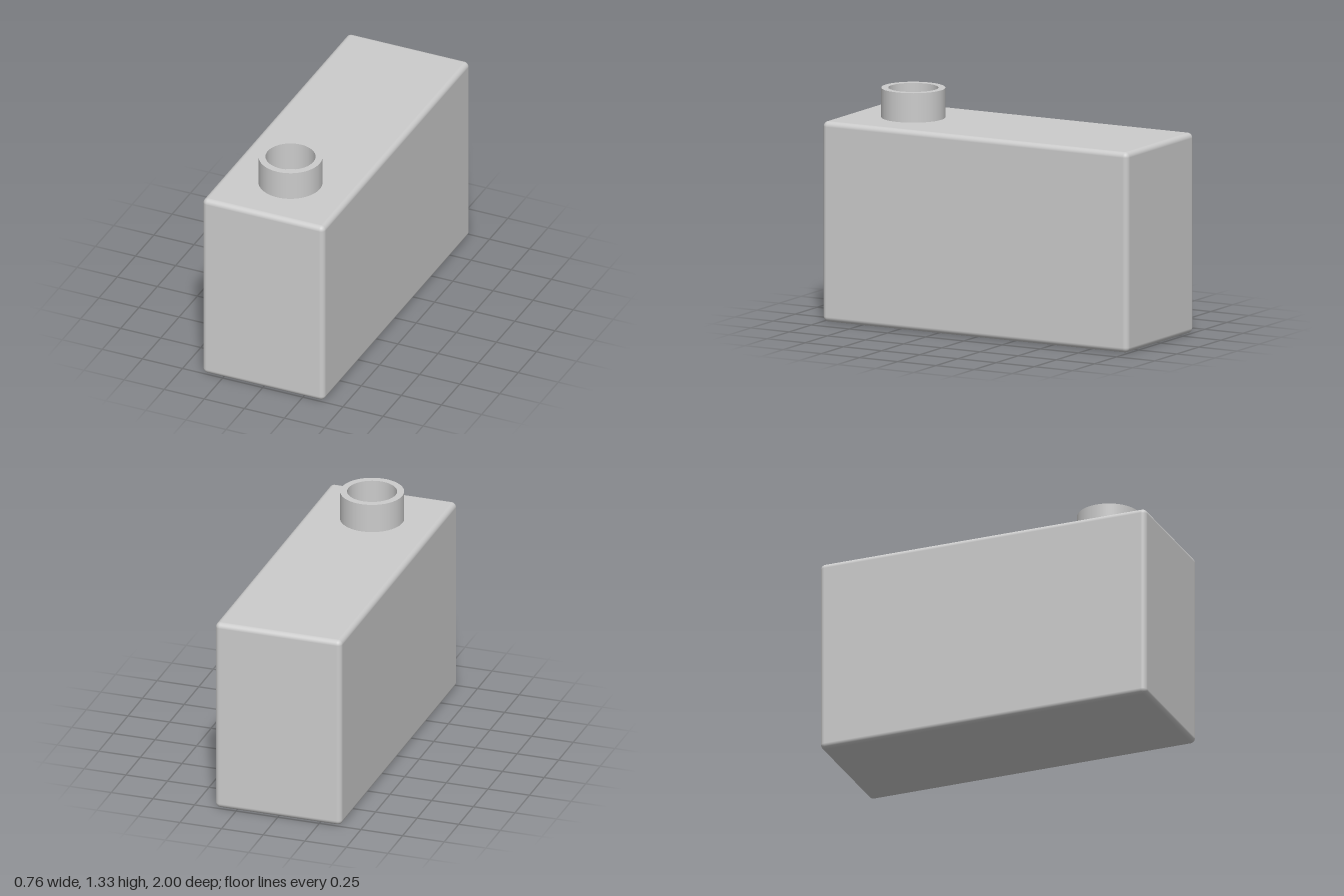
import * as THREE from 'three';
import { RoundedBoxGeometry } from 'three/addons/geometries/RoundedBoxGeometry.js';

const WIDTH = 0.76, HEIGHT = 1.155, DEPTH = 2, EDGE = 0.03;
const NECK = { outer: 0.182, inner: 0.142, top: 1.325, z: 0.62 };

export function createModel() {
  const group = new THREE.Group();
  const material = new THREE.MeshStandardMaterial({ color: 0xcccccc });

  // Tank body with softly rounded edges
  const body = new THREE.Mesh(new RoundedBoxGeometry(WIDTH, HEIGHT, DEPTH, 5, EDGE), material);
  body.name = 'tankBody';
  body.position.y = HEIGHT / 2;
  group.add(body);

  // Open filler neck: a ring extruded upward, its foot sunk slightly into the body
  const ring = new THREE.Shape().absarc(0, 0, NECK.outer, 0, Math.PI * 2, false);
  ring.holes.push(new THREE.Path().absarc(0, 0, NECK.inner, 0, Math.PI * 2, true));
  const foot = HEIGHT - 0.01;
  const neckGeometry = new THREE.ExtrudeGeometry(ring, {
    depth: NECK.top - foot, bevelEnabled: false, curveSegments: 64,
  });
  neckGeometry.rotateX(-Math.PI / 2);
  const neck = new THREE.Mesh(neckGeometry, material);
  neck.name = 'fillerNeck';
  neck.position.set(0, foot, NECK.z);
  group.add(neck);

  return group;
}
